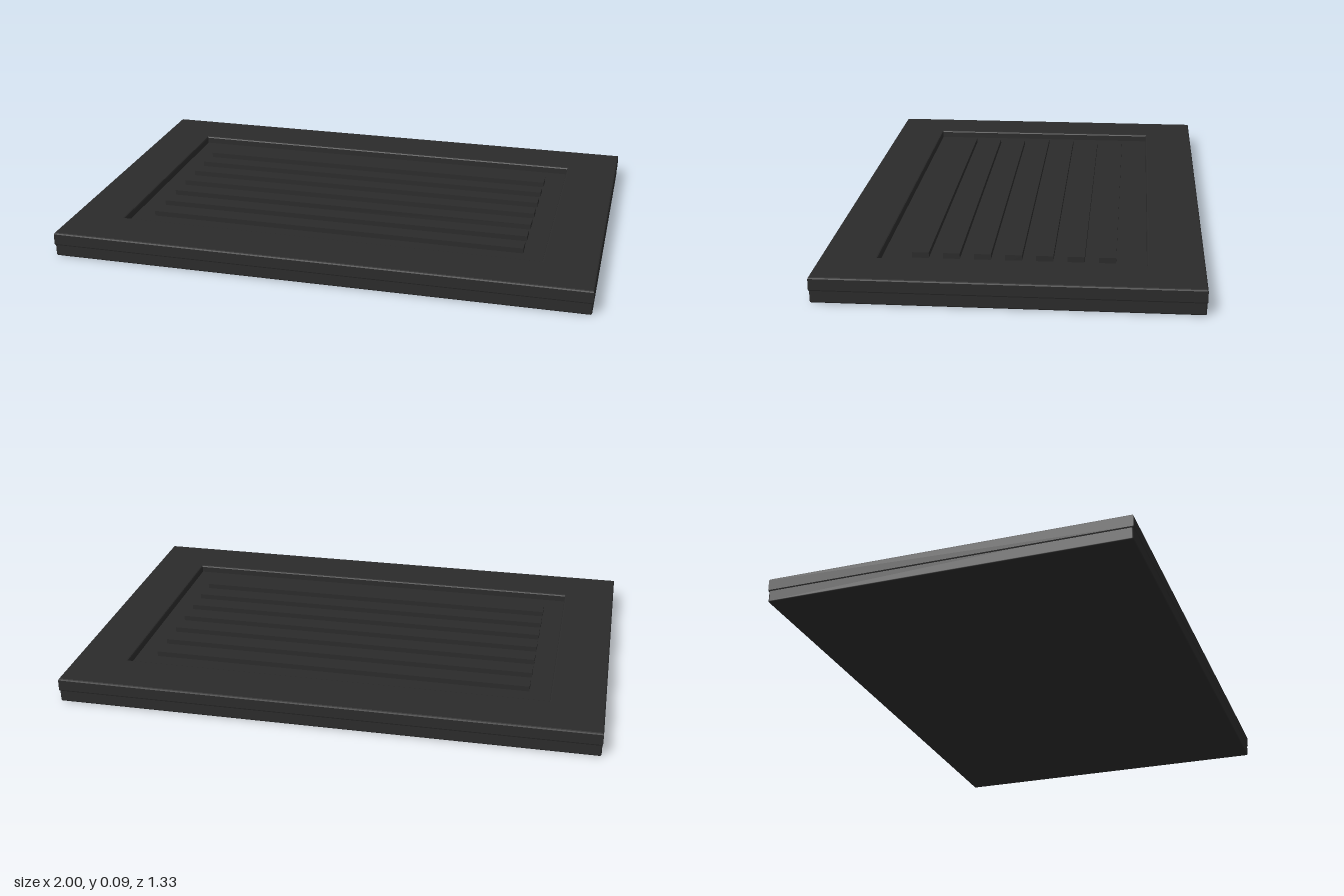
import * as THREE from 'three';
import { RoundedBoxGeometry } from 'three/addons/geometries/RoundedBoxGeometry.js';

const W = 2, D = 1.333, TOP = 0.093, FLOOR = 0.064, BEVEL = 0.006;

function rect(target, w, d) {
  target.moveTo(-w / 2, -d / 2);
  target.lineTo(w / 2, -d / 2);
  target.lineTo(w / 2, d / 2);
  target.lineTo(-w / 2, d / 2);
  target.closePath();
  return target;
}

export function createModel() {
  const group = new THREE.Group();
  const charcoal = new THREE.MeshStandardMaterial({ color: 0x2b2b2b });
  charcoal.name = 'charcoal';

  const add = (name, geometry, x, y, z) => {
    const mesh = new THREE.Mesh(geometry, charcoal);
    mesh.name = name;
    mesh.position.set(x, y, z);
    group.add(mesh);
    return mesh;
  };

  // Solid base slab, whose top is the recess floor
  add('base', new RoundedBoxGeometry(W - 0.004, FLOOR, D - 0.004, 2, BEVEL), 0, FLOOR / 2, 0);

  // Raised border with softened edges around the recess
  const outline = rect(new THREE.Shape(), W - 2 * BEVEL, D - 2 * BEVEL);
  outline.holes.push(rect(new THREE.Path(), 1.6 + 2 * BEVEL, 0.934 + 2 * BEVEL));
  const rimBottom = 0.042;
  const rim = new THREE.ExtrudeGeometry(outline, {
    depth: TOP - rimBottom - 2 * BEVEL,
    bevelEnabled: true, bevelThickness: BEVEL, bevelSize: BEVEL, bevelSegments: 2,
  });
  rim.rotateX(-Math.PI / 2);
  add('rim', rim, 0, rimBottom + BEVEL, 0);

  // Seven parallel ribs in the recess
  const ribHeight = 0.02;
  for (let i = -3; i <= 3; i++) {
    add('rib', new THREE.BoxGeometry(1.44, ribHeight + 0.01, 0.06),
      0, FLOOR + (ribHeight - 0.01) / 2, i * 0.11);
  }
  return group;
}
